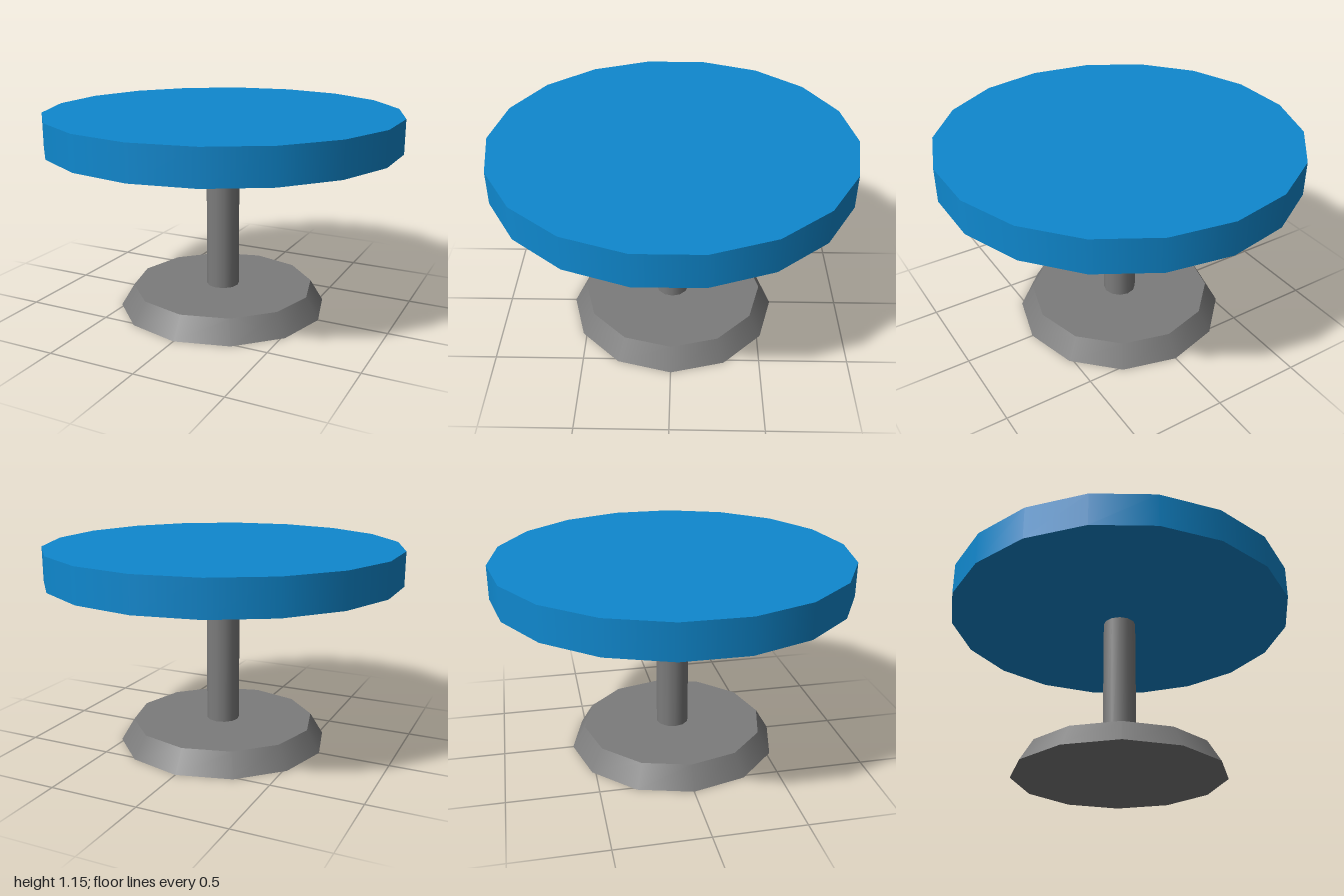
import * as THREE from 'three';

export function createModel() {
  const group = new THREE.Group();
  group.name = 'pedestalTable';

  const blue = new THREE.MeshStandardMaterial({ color: 0x0f88ce });
  blue.name = 'blue';
  const grey = new THREE.MeshStandardMaterial({ color: 0x7c7c7c });
  grey.name = 'grey';

  // Upright round part spanning y0 to y1
  function addRound(name, rTop, rBottom, y0, y1, sides, material) {
    const geometry = new THREE.CylinderGeometry(rTop, rBottom, y1 - y0, sides);
    const mesh = new THREE.Mesh(geometry, material);
    mesh.name = name;
    mesh.position.y = (y0 + y1) / 2;
    group.add(mesh);
  }

  addRound('base', 0.525, 0.6, 0, 0.125, 12, grey);
  addRound('post', 0.094, 0.094, 0.125, 0.96, 12, grey);
  addRound('tableTop', 1, 1, 0.96, 1.15, 18, blue);

  return group;
}
